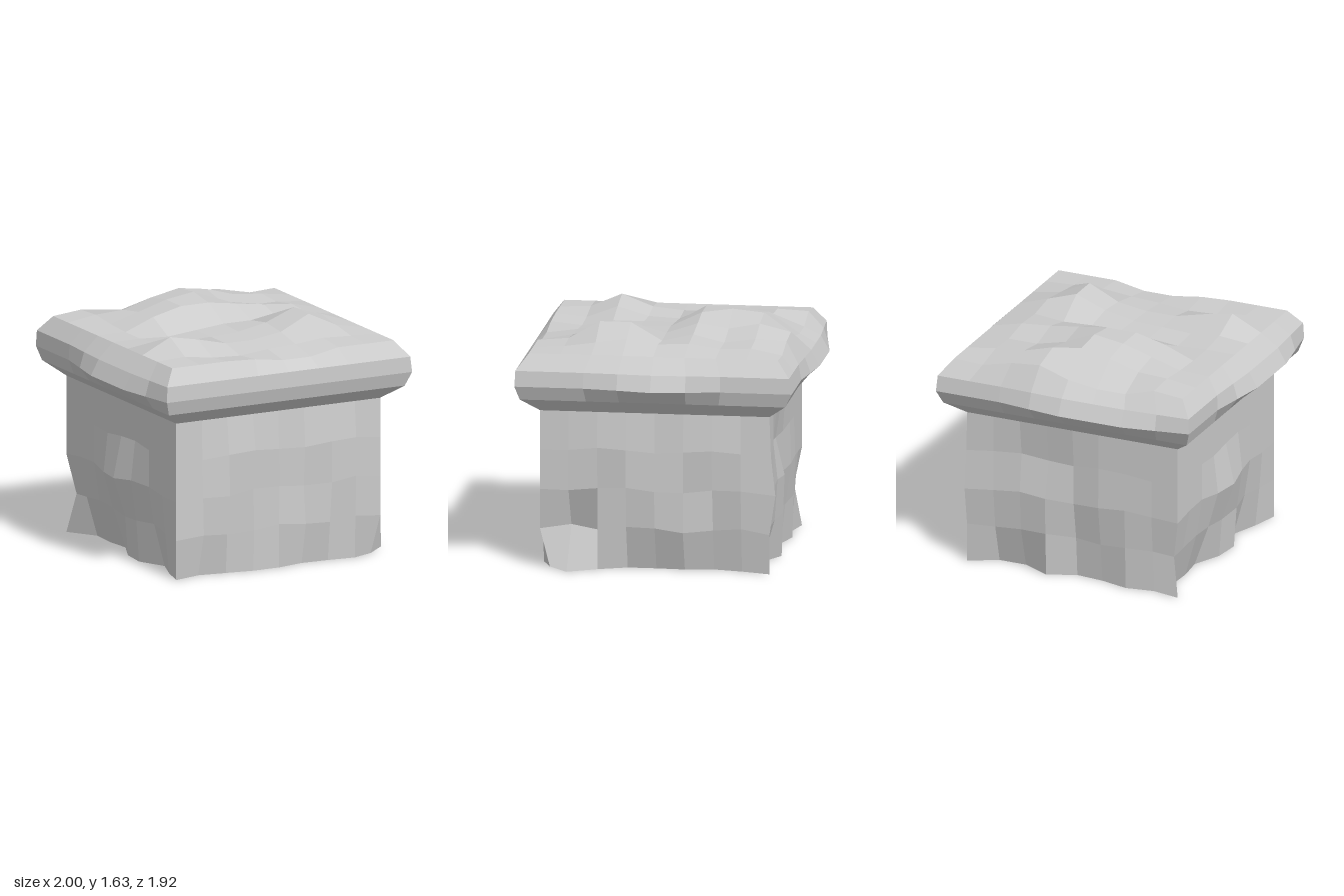
import * as THREE from 'three';

const N = 8;          // cells along each side
const ZC = 0.037;     // centre of the square plan in z
const material = new THREE.MeshStandardMaterial({ color: 0xcccccc });

// Square ring of 4 * N points, counter-clockwise from above, starting at the front left corner.
// push(i) moves a point out from its side, lift(i) gives its height.
function ring(half, lift, push = () => 0) {
  return Array.from({ length: 4 * N }, (_, i) => {
    const side = Math.floor(i / N);
    const along = ((i % N) / N * 2 - 1) * half;
    return new THREE.Vector3(along, 0, half + push(i))
      .applyAxisAngle(new THREE.Vector3(0, 1, 0), side * Math.PI / 2)
      .add(new THREE.Vector3(0, lift(i), ZC));
  });
}

// Facet with a single normal, so each cell reads as one flat patch
function quad(out, a, b, c, d) {
  const normal = c.clone().sub(a).cross(d.clone().sub(b)).normalize();
  for (const p of [b, c, d, b, d, a]) {
    out.points.push(p);
    out.normals.push(normal);
  }
}

// Walls joining a stack of rings from bottom to top
function walls(out, rings) {
  for (let r = 0; r + 1 < rings.length; r++) {
    for (let i = 0; i < 4 * N; i++) {
      const j = (i + 1) % (4 * N);
      quad(out, rings[r][i], rings[r][j], rings[r + 1][j], rings[r + 1][i]);
    }
  }
}

function makeMesh(name, { points, normals }) {
  const geometry = new THREE.BufferGeometry().setFromPoints(points);
  geometry.setAttribute('normal',
    new THREE.Float32BufferAttribute(normals.flatMap(n => n.toArray()), 3));
  const mesh = new THREE.Mesh(geometry, material);
  mesh.name = name;
  return mesh;
}

// Outward dents and bulges of the body in hundredths: front, right, back, left
const bodyBumps = [
  [0, -5, -2, 1, 1, -3, -2, 0, -4, 11, 0, -8, -8, -7, -10, -6,
    0, -10, -10, 0, -8, -6, -1, -4, 0, -13, -12, -14, -5, -3, -12, -5],
  [0, 3, 0, 2, 1, 3, 1, 1, 0, -13, 0, 0, 1, 3, -4, -2,
    0, -3, -2, 1, -6, -3, 0, -2, -5, -5, -4, -4, -3, -1, -4, -2],
  [0, 2, 4, 1, 2, 0, 4, 2, 0, 1, 0, 2, 3, 1, 0, 1,
    4, 0, 0, 2, -2, 1, 1, 0, 0, 0, 0, 3, 6, 3, 0, 0],
  [0, 1, 3, 4, 1, 2, 4, 2, 0, 1, 2, 3, 1, 2, 3, 1,
    1, 0, -3, -4, -2, 0, 0, 0, 0, 0, 0, 0, 0, 0, 0, 0],
];

// Bulges of the widest ring of the lid, same order
const rimBumps = [0, 0, 0, 0, 0, 0, 0, 0, 1, 1, 1, 4, 8, 4, 0, 0,
  2, 2, 2, 5, 8, 8, 8, 4, 0, 0, 0, 4, 8, 8, 8, 4];

// Heights of the lid top above 1.4 in hundredths, rows from back to front
const topHeights = [
  [7, 9, 3, 3, 6, 13, 11, 6, 7],
  [7, 10, 11, 17, 21, 18, 12, 10, 7],
  [7, 8, 14, 20, 23, 14, 9, 9, 7],
  [7, 7, 15, 20, 20, 17, 14, 12, 7],
  [7, 7, 6, 8, 10, 10, 9, 11, 7],
  [7, 9, 7, 8, 9, 13, 21, 14, 7],
  [7, 17, 13, 8, 8, 11, 21, 11, 7],
  [7, 8, 5, 4, 6, 7, 9, 8, 7],
  [7, 7, 7, 6, 3, 3, 7, 7, 7],
];

function makeBody() {
  const facets = { points: [], normals: [] };
  const rings = bodyBumps.map((bumps, r) => ring(0.77,
    i => r === 0 ? 0 : 0.267 * r + 0.015 * (1 + Math.sin(i * 1.7 + r)) * (i % N ? 1 : 0),
    i => bumps[i] / 100));
  rings[0][N].z -= 0.06;     // chipped foot of the front corner
  rings[1][3 * N].z += 0.05; // notch in the back corner
  rings.push(ring(0.77, () => 1.07));
  walls(facets, rings);
  // Flat underside
  const centre = new THREE.Vector3(0, 0, ZC);
  const down = new THREE.Vector3(0, -1, 0);
  rings[0].forEach((p, i) => {
    facets.points.push(centre, rings[0][(i + 1) % (4 * N)], p);
    facets.normals.push(down, down, down);
  });
  return makeMesh('body', facets);
}

function makeLid() {
  const facets = { points: [], normals: [] };
  const half = 0.835;
  // Rough top surface
  const top = topHeights.map((row, r) => row.map((h, c) =>
    new THREE.Vector3((c / N * 2 - 1) * half, 1.4 + h / 100, (r / N * 2 - 1) * half + ZC)));
  for (let r = 0; r < N; r++) {
    for (let c = 0; c < N; c++) {
      quad(facets, top[r + 1][c], top[r + 1][c + 1], top[r][c + 1], top[r][c]);
    }
  }
  // Border of the top, in ring order
  const border = Array.from({ length: 4 * N }, (_, i) => {
    const k = i % N;
    return [top[N][k], top[N - k][N], top[0][N - k], top[k][0]][Math.floor(i / N)];
  });
  // Overhanging bevelled rim
  walls(facets, [
    ring(0.77, () => 1.07),
    ring(0.89, () => 1.165),
    ring(0.92, () => 1.26, i => rimBumps[i] / 100),
    ring(0.915, () => 1.365, i => rimBumps[i] / 300),
    border,
  ]);
  return makeMesh('lid', facets);
}

export function createModel() {
  const model = new THREE.Group();
  model.name = 'roughBlockWithLid';
  model.add(makeBody(), makeLid());
  return model;
}
